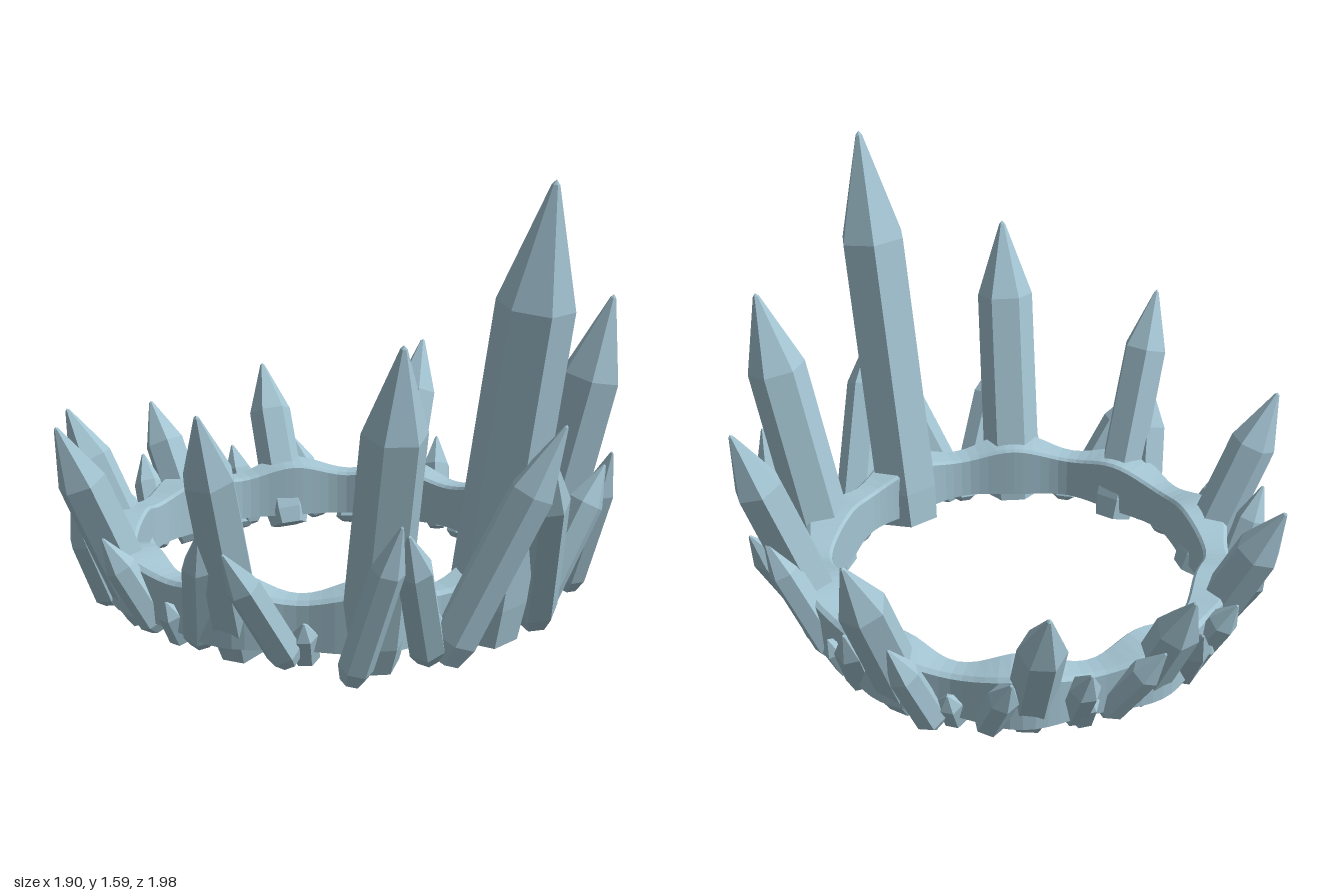
import * as THREE from 'three';

const CENTRE_Z = -0.05;

// Hexagonal crystal from a blunt foot to a pointed tip, one face turned outward
function crystal(name, base, tip, r, shoulder, foot, material) {
  const a = new THREE.Vector3(...base), b = new THREE.Vector3(...tip);
  const axis = b.clone().sub(a);
  const len = axis.length();
  axis.normalize();
  const profile = [
    [0, 0], [r * foot, 0], [r, len * 0.09], [r * 0.97, len * shoulder], [r * 0.1, len * 0.99], [0, len],
  ].map(([x, y]) => new THREE.Vector2(x, y));
  let geo = new THREE.LatheGeometry(profile, 6, Math.PI / 6);
  const out = new THREE.Vector3(a.x, 0, a.z - CENTRE_Z).normalize();
  out.addScaledVector(axis, -out.dot(axis)).normalize();
  const side = axis.clone().cross(out);
  geo.applyMatrix4(new THREE.Matrix4().makeBasis(side, axis, out).setPosition(a));
  const mesh = new THREE.Mesh(geo, material);
  mesh.name = name;
  return mesh;
}

// Band with a scalloped top that swells beside every tall crystal
function bandGeometry() {
  const n = 120, pos = [], idx = [];
  const section = (t) => {
    const w = Math.cos(10 * t);
    const ri = 0.665 - 0.012 * w, ro = 0.79 + 0.02 * w, top = 0.28 + 0.02 * w;
    return [[ro, 0.095], [ro, top - 0.012], [ro - 0.015, top], [ri + 0.01, top], [ri, top - 0.01], [ri, 0.095]];
  };
  for (let s = 0; s < 6; s++) {
    const start = pos.length / 3;
    for (let i = 0; i <= n; i++) {
      const t = (i / n) * Math.PI * 2, sec = section(t);
      for (const [r, y] of [sec[s], sec[(s + 1) % 6]]) {
        pos.push(r * Math.sin(t), y, r * Math.cos(t) + CENTRE_Z);
      }
      if (i < n) {
        const k = start + i * 2;
        idx.push(k, k + 2, k + 1, k + 1, k + 2, k + 3);
      }
    }
  }
  const geo = new THREE.BufferGeometry();
  geo.setAttribute('position', new THREE.Float32BufferAttribute(pos, 3));
  geo.setIndex(idx);
  geo.computeVertexNormals();
  return geo;
}

export function createModel() {
  const crown = new THREE.Group();
  crown.name = 'crystalCrown';
  const ice = new THREE.MeshStandardMaterial({ color: 0xa4c5d3 });
  ice.name = 'paleIceBlue';
  const crystalIce = ice;
  crystalIce.flatShading = true;

  const band = new THREE.Mesh(bandGeometry(), ice);
  band.name = 'band';
  crown.add(band);

  const add = (...args) => crown.add(crystal(...args, crystalIce));
  const mirror = ([x, y, z]) => [-x, y, z];
  const pair = (name, base, tip, ...rest) => {
    add(name + 'Left', base, tip, ...rest);
    add(name + 'Right', mirror(base), mirror(tip), ...rest);
  };

  // Tall crystals, shrinking from front to back
  add('frontSpire', [0, 0.05, 0.665], [0.005, 1.59, 0.915], 0.132, 0.74, 0.92);
  pair('frontSideSpire', [0.43, 0.045, 0.55], [0.55, 1.14, 0.78], 0.11, 0.74, 0.85);
  pair('sideSpire', [0.65, 0.05, 0.18], [0.94, 0.915, 0.295], 0.09, 0.75, 0.85);
  pair('rearSideSpire', [0.65, 0.05, -0.29], [0.94, 0.755, -0.385], 0.087, 0.72, 0.85);
  pair('rearSpire', [0.385, 0.05, -0.61], [0.505, 0.65, -0.875], 0.085, 0.7, 0.85);
  add('backSpire', [0, 0.055, -0.735], [0, 0.565, -0.99], 0.08, 0.7, 0.85);

  // Crossed pair before the front spire
  add('crossedShardRight', [-0.24, 0.035, 0.7], [0.005, 0.825, 0.985], 0.08, 0.72, 0.7);
  add('crossedShardLeft', [0.245, 0.03, 0.7], [-0.05, 0.735, 0.97], 0.08, 0.74, 0.7);

  // Small shards around the band
  pair('frontLeaningShard', [0.285, 0.045, 0.67], [0.525, 0.545, 0.785], 0.065, 0.74, 0.65);
  pair('frontUprightShard', [0.58, 0.035, 0.6], [0.56, 0.585, 0.79], 0.058, 0.72, 0.65);
  pair('frontCornerShard', [0.64, 0.06, 0.39], [0.88, 0.47, 0.335], 0.06, 0.7, 0.6);
  pair('sideShard', [0.72, 0.06, 0.06], [0.88, 0.515, 0.23], 0.06, 0.72, 0.6);
  pair('rearSideShard', [0.73, 0.06, -0.13], [0.87, 0.385, -0.25], 0.055, 0.68, 0.55);
  pair('rearOuterShard', [0.66, 0.055, -0.46], [0.83, 0.43, -0.455], 0.058, 0.68, 0.55);
  pair('rearCornerShard', [0.53, 0.06, -0.58], [0.56, 0.35, -0.755], 0.055, 0.68, 0.55);
  pair('rearLeaningShard', [0.27, 0.06, -0.71], [0.32, 0.345, -0.865], 0.055, 0.68, 0.55);
  pair('backShard', [0.17, 0.06, -0.76], [0.08, 0.375, -0.95], 0.055, 0.68, 0.55);

  // Little nubs under the band
  for (const deg of [20, 52, 88, 126, 160]) {
    const t = (deg * Math.PI) / 180;
    const at = (r, y) => [r * Math.sin(t), y, r * Math.cos(t) + CENTRE_Z];
    pair('lowerNub', at(0.72, 0.045), at(0.8, 0.2), 0.045, 0.7, 0.5);
  }
  return crown;
}
